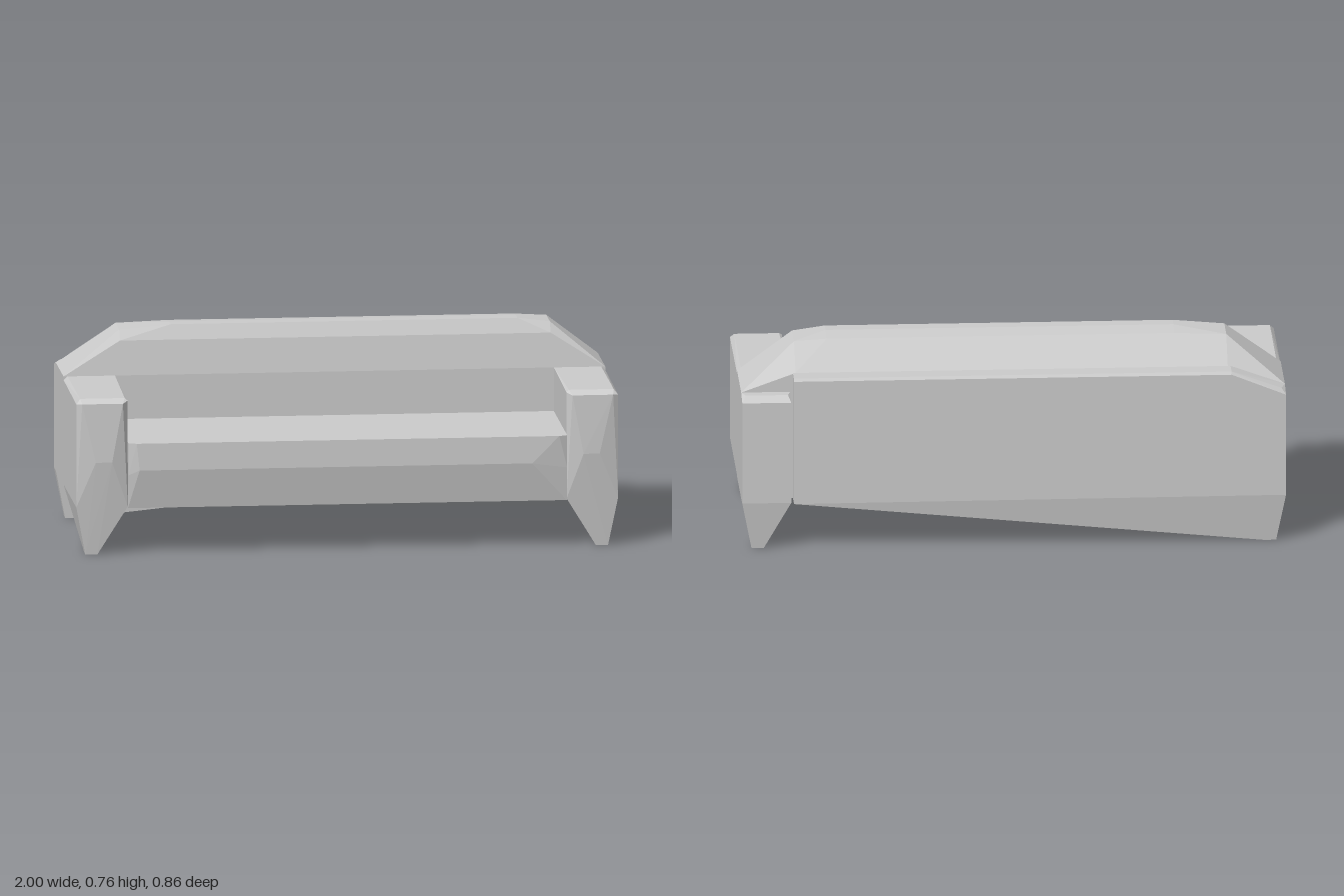
import * as THREE from 'three';
import { ConvexGeometry } from 'three/addons/geometries/ConvexGeometry.js';

const material = new THREE.MeshStandardMaterial({ color: 0xcccccc, flatShading: true });

// Faceted convex block spanning the given corner points
function block(name, points) {
  const geometry = new ConvexGeometry(points.map((p) => new THREE.Vector3(...p)));
  const mesh = new THREE.Mesh(geometry, material);
  mesh.name = name;
  return mesh;
}

// Corners repeated at two x positions for each [y, z] of a side profile
const span = (x0, x1, profile) => profile.flatMap(([y, z]) => [[x0, y, z], [x1, y, z]]);

// Small foot pad on the floor
const foot = (side, z0, z1) => [0.92, 0.965].flatMap((x) => [[side * x, 0, z0], [side * x, 0, z1]]);

// Armrest tapering into its front foot
function armrest(side, name) {
  const at = (x, y, z) => [side * x, y, z];
  return block(name, [
    ...foot(side, 0.34, 0.375),
    at(1, 0.18, -0.075), at(0.81, 0.18, -0.075),
    at(1, 0.57, -0.075), at(0.985, 0.583, -0.075), at(0.81, 0.583, -0.075),
    at(1, 0.565, 0.4), at(0.985, 0.583, 0.38), at(0.82, 0.583, 0.38), at(0.81, 0.575, 0.39),
    at(0.98, 0.568, 0.413), at(0.83, 0.568, 0.415),
    at(0.87, 0.35, 0.42), at(0.93, 0.35, 0.418),
    at(1, 0.18, 0.395), at(0.81, 0.18, 0.395),
  ]);
}

export function createModel() {
  const sofa = new THREE.Group();
  sofa.name = 'sofa';

  // Seat with a front face that slopes in below
  sofa.add(block('seat', [
    ...span(-0.81, 0.81, [[0.42, -0.075], [0.175, -0.075], [0.175, 0.4], [0.42, 0.415], [0.3, 0.415]]),
    ...span(-0.78, 0.78, [[0.42, 0.428]]),
    ...span(-0.77, 0.68, [[0.32, 0.43]]),
  ]));

  sofa.add(armrest(1, 'leftArmrest'), armrest(-1, 'rightArmrest'));

  // Backrest cushion, chamfered down to the arms at both ends
  sofa.add(block('backrest', [
    ...span(-1, 1, [[0.175, -0.075], [0.175, -0.35], [0.583, -0.072], [0.583, -0.35]]),
    ...span(-0.79, 0.8, [[0.71, -0.09], [0.747, -0.118], [0.747, -0.25], [0.655, -0.35]]),
    ...span(-0.6, 0.68, [[0.763, -0.115], [0.763, -0.17], [0.754, -0.25]]),
  ]));

  // Rear panel, running down into the right rear foot
  sofa.add(block('rearPanel', [
    ...foot(-1, -0.36, -0.402),
    [0.81, 0.175, -0.35], [0.81, 0.175, -0.428],
    [0.81, 0.655, -0.35], [0.81, 0.655, -0.42], [0.81, 0.645, -0.428],
    [-0.8, 0.655, -0.35], [-0.8, 0.655, -0.42], [-0.8, 0.645, -0.428],
    [-1, 0.583, -0.35], [-0.985, 0.583, -0.4], [-1, 0.565, -0.428],
    [-1, 0.18, -0.35], [-1, 0.18, -0.428],
  ]));

  // Left rear corner post with its foot
  sofa.add(block('leftRearPost', [
    ...foot(1, -0.36, -0.402),
    ...span(0.82, 1, [[0.175, -0.35], [0.18, -0.428], [0.583, -0.35], [0.565, -0.428]]),
    ...span(0.83, 0.985, [[0.583, -0.39]]),
  ]));

  return sofa;
}
